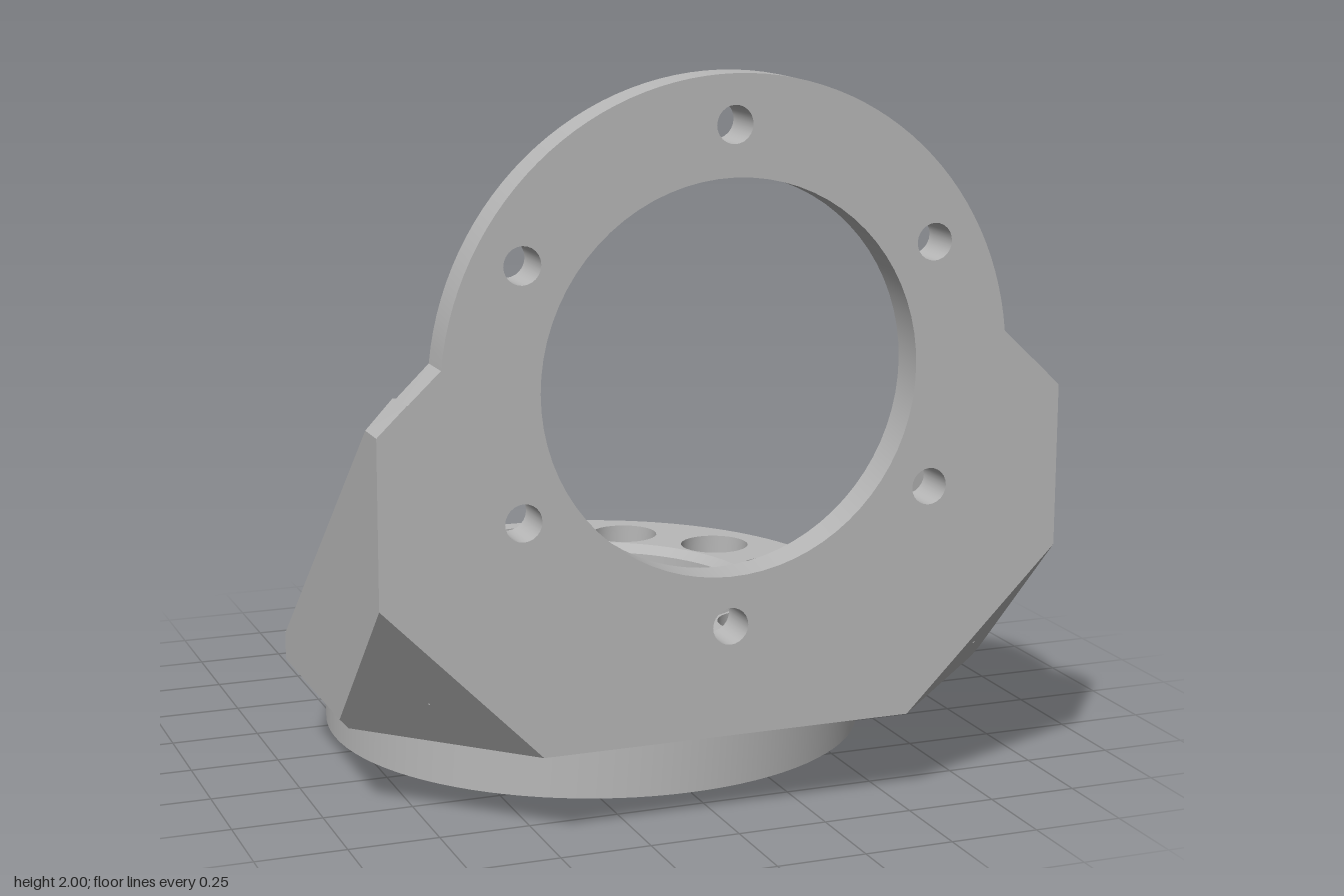
import * as THREE from 'three';
import { toCreasedNormals } from 'three/addons/utils/BufferGeometryUtils.js';
import { ConvexGeometry } from 'three/addons/geometries/ConvexGeometry.js';

const CUT = 1.2;          // lower front corners are cut by the plane x - y + z = CUT
const FLOOR = 0.385, UNDER = 0.25, WALL = 0.79, SIDE = 0.955, BACK = 0.8, FRONT = 0.93;
const RING_V = 0.135;     // ring centre (v = -z)
const EYE_Y = 1.21;       // centre of the opening in the upright plate

const V2 = (x, y) => new THREE.Vector2(x, y);

// Points on an arc, counter-clockwise from angle a to b
function arc(cx, cy, r, a, b, n) {
  return Array.from({ length: n + 1 }, (_, i) => {
    const t = a + (b - a) * i / n;
    return V2(cx + r * Math.cos(t), cy + r * Math.sin(t));
  });
}

// Clockwise circle used as a hole loop
function hole(cx, cy, r, n) {
  return arc(cx, cy, r, 0, Math.PI * 2, n).slice(0, n).reverse();
}

// Solid through stacked levels { h, outline, holes }, capped at both ends
function solid(levels) {
  const pos = [], a = new THREE.Vector3(), b = new THREE.Vector3();
  const tri = (p, q, r) => {
    a.subVectors(q, p); b.subVectors(r, p);
    if (a.cross(b).length() > 1e-9) for (const v of [p, q, r]) pos.push(v.x, v.y, v.z);
  };
  const loops = levels.map(l => [l.outline, ...(l.holes || [])].map(
    loop => loop.map(p => new THREE.Vector3(p.x, p.y, l.h))));
  for (let k = 0; k + 1 < loops.length; k++) {
    loops[k].forEach((lo, j) => {
      const hi = loops[k + 1][j], n = lo.length;
      for (let i = 0; i < n; i++) {
        const m = (i + 1) % n;
        tri(lo[i], lo[m], hi[m]);
        tri(lo[i], hi[m], hi[i]);
      }
    });
  }
  for (const k of [0, levels.length - 1]) {
    const pts = loops[k].flat();
    for (const f of THREE.ShapeUtils.triangulateShape(levels[k].outline, levels[k].holes || [])) {
      if (k) tri(pts[f[0]], pts[f[1]], pts[f[2]]);
      else tri(pts[f[0]], pts[f[2]], pts[f[1]]);
    }
  }
  const g = new THREE.BufferGeometry();
  g.setAttribute('position', new THREE.Float32BufferAttribute(pos, 3));
  return toCreasedNormals(g, 0.5);
}

// Mirror a non-indexed geometry in x, keeping faces outward
function mirrored(geo) {
  const g = geo.clone().scale(-1, 1, 1);
  for (const name of ['position', 'normal']) {
    const at = g.attributes[name];
    for (let i = 0; i < at.count; i += 3) {
      for (let c = 0; c < 3; c++) {
        const t = at.getComponent(i + 1, c);
        at.setComponent(i + 1, c, at.getComponent(i + 2, c));
        at.setComponent(i + 2, c, t);
      }
    }
  }
  return g;
}

const hull = pts => new ConvexGeometry(pts.map(p => new THREE.Vector3(...p)));

// Bore and twelve bolt holes of the base ring
function ringHoles(bore, bolt) {
  const holes = [hole(0, RING_V, bore, 72)];
  for (let i = 0; i < 12; i++) {
    const t = i * Math.PI / 6;
    holes.push(hole(0.605 * Math.cos(t), RING_V + 0.605 * Math.sin(t), bolt, 28));
  }
  return holes;
}

// Lower ring, flaring at the front where it meets the bracket
function ringLevel(h, flare, bolt) {
  const outline = arc(0, RING_V, 0.795, 0, Math.PI * 2, 96).slice(0, 96);
  for (const p of outline) {
    if (p.y < 0.2) {
      p.y = RING_V + (p.y - RING_V) * (1 + flare / 0.795);
      p.x *= 1 + flare / 0.795;
    }
  }
  return { h, outline, holes: ringHoles(0.472, bolt) };
}

// Floor slab: straight front, cut corners, round back
function slabLevel(h, side, r, bore) {
  const b = CUT + h - FRONT, a = CUT + h - side, s = 0.095;
  return {
    h,
    outline: [V2(-b, -FRONT), V2(b, -FRONT), V2(side, -a), V2(side, 1.015 - side),
      ...arc(0, RING_V, r, s, Math.PI - s, 56),
      V2(-side, 1.015 - side), V2(-side, -a)],
    holes: ringHoles(bore, 0.105),
  };
}

// Upright plate: round top, sloped shoulders, cut lower corners
function plateLevel(h, shoulder, r, opening) {
  const b = CUT + UNDER - h, a = SIDE + h - CUT, s = 0.1;
  const holes = [hole(0, EYE_Y, opening, 72)];
  for (let i = 0; i < 6; i++) {
    const t = Math.PI / 6 + i * Math.PI / 3;
    holes.push(hole(0.66 * Math.cos(t), EYE_Y + 0.66 * Math.sin(t), 0.05, 24));
  }
  return {
    h,
    outline: [V2(-b, UNDER), V2(b, UNDER), V2(SIDE, a), V2(SIDE, shoulder),
      ...arc(0, EYE_Y, r, s, Math.PI - s, 56),
      V2(-SIDE, shoulder), V2(-SIDE, a)],
    holes,
  };
}

// Concave fillet strip in the corner (u, v), running from h0 to h1
function fillet(u, v, h0, h1) {
  const r = 0.035;
  const outline = [V2(u, v), ...arc(u + r, v + r, r, Math.PI * 1.5, Math.PI, 6)];
  return solid([{ h: h0, outline }, { h: h1, outline }]);
}

export function createModel() {
  const grey = new THREE.MeshStandardMaterial({ color: 0xb8b8b8 });
  grey.name = 'machined grey';
  const model = new THREE.Group();
  model.name = 'angleBracket';
  const add = (name, geo) => {
    const mesh = new THREE.Mesh(geo, grey);
    mesh.name = name;
    model.add(mesh);
  };
  const addPair = (name, geo) => {
    add(name + 'Left', geo);
    add(name + 'Right', mirrored(geo));
  };

  // Base ring with stepped bolt holes
  add('baseRing', solid([
    ringLevel(0, 0, 0.06), ringLevel(0.12, 0, 0.06), ringLevel(0.12, 0, 0.105),
    ringLevel(0.22, 0, 0.105), ringLevel(UNDER, 0.03, 0.105),
  ]).rotateX(-Math.PI / 2));

  // Floor slab with chamfered edges
  add('floorSlab', solid([
    slabLevel(UNDER, 0.93, 0.795, 0.472), slabLevel(0.278, SIDE, 0.795, 0.472),
    slabLevel(0.358, SIDE, 0.795, 0.472), slabLevel(FLOOR, 0.875, 0.77, 0.492),
  ]).rotateX(-Math.PI / 2));

  // Upright plate, chamfered on its back rim
  add('uprightPlate', solid([
    plateLevel(BACK, 1.1, 0.765, 0.55), plateLevel(0.826, 1.125, 0.79, 0.525),
    plateLevel(FRONT, 1.13, 0.79, 0.525),
  ]));

  // Sloping side walls
  addPair('sideWall', hull([
    [WALL, 1.2, BACK], [0.875, 1.2, BACK], [WALL, 1.2, FRONT], [0.875, 1.207, FRONT],
    [SIDE, 1.13, 0.83], [SIDE, 1.13, FRONT], [SIDE, 0.685, FRONT], [WALL, 0.52, FRONT],
    [WALL, UNDER, 0.66], [0.93, UNDER, 0.52], [SIDE, 0.278, 0.523],
    [WALL, FLOOR, -0.14], [0.875, FLOOR, -0.14], [SIDE, 0.355, -0.06],
    [SIDE, 0.278, -0.06], [0.93, UNDER, -0.085], [WALL, UNDER, -0.14],
  ]));

  // Triangular webs in the inner corners
  addPair('cornerWeb', hull([
    [WALL, FLOOR, 0.445], [0.435, FLOOR, BACK], [WALL, 0.74, BACK], [WALL, FLOOR, BACK],
  ]));

  // Inner fillets
  addPair('wallFloorFillet', fillet(-WALL, FLOOR, -0.13, BACK));
  addPair('wallPlateFillet', fillet(-WALL, -BACK, FLOOR, 1.19).rotateX(-Math.PI / 2));
  add('floorPlateFillet', fillet(-BACK, FLOOR, -WALL, WALL).rotateY(Math.PI / 2));

  return model;
}
